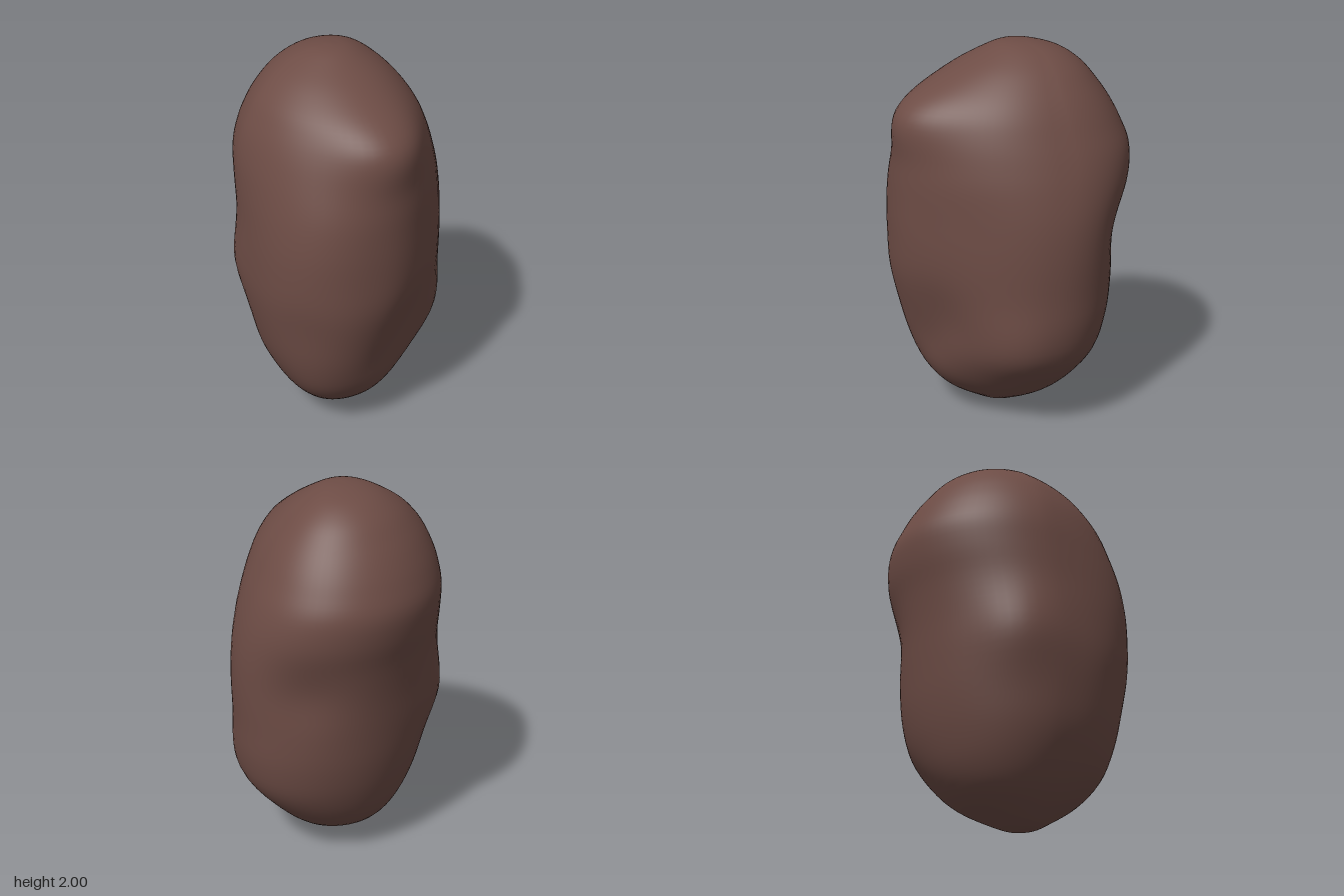
import * as THREE from 'three';

// Cross-sections from bottom to top: y, x min, x max, z min, z max
const SECTIONS = [
  [0.00, -0.10, -0.10, 0.07, 0.07],
  [0.012, -0.155, 0.00, 0.01, 0.13],
  [0.05, -0.215, 0.09, -0.085, 0.20],
  [0.14, -0.315, 0.24, -0.245, 0.335],
  [0.26, -0.40, 0.37, -0.345, 0.44],
  [0.42, -0.475, 0.495, -0.415, 0.515],
  [0.60, -0.52, 0.545, -0.46, 0.565],
  [0.80, -0.55, 0.56, -0.488, 0.60],
  [1.00, -0.555, 0.57, -0.515, 0.605],
  [1.18, -0.55, 0.565, -0.55, 0.605],
  [1.34, -0.545, 0.54, -0.59, 0.595],
  [1.48, -0.535, 0.50, -0.60, 0.56],
  [1.60, -0.51, 0.45, -0.56, 0.515],
  [1.70, -0.47, 0.40, -0.51, 0.46],
  [1.79, -0.415, 0.34, -0.45, 0.38],
  [1.88, -0.325, 0.26, -0.375, 0.26],
  [1.95, -0.215, 0.165, -0.275, 0.13],
  [1.988, -0.12, 0.07, -0.155, 0.04],
  [2.00, -0.03, -0.03, -0.05, -0.05],
];

// Soft lumps and hollows: centre x, y, z, radius, height
const LUMPS = [
  [-0.03, 1.68, 0.47, 0.22, 0.11],   // brow
  [0.48, 0.50, 0.18, 0.20, 0.035],   // low front bulge
  [0.10, 0.62, 0.47, 0.24, -0.055],  // front groove
  [0.00, 0.46, 0.48, 0.15, -0.025],  // front groove, lower end
  [-0.44, 0.72, 0.42, 0.18, -0.015], // side hollow beside the groove
  [-0.50, 0.87, -0.24, 0.20, 0.045], // side bulge
  [0.36, 1.06, -0.42, 0.19, -0.035], // rear hollow
  [-0.34, 0.28, 0.32, 0.15, 0.015],  // low front corner
];

function createStoneGeometry(rows = 72, sides = 72) {
  const xs = new THREE.CatmullRomCurve3(
    SECTIONS.map(([y, x0, x1]) => new THREE.Vector3(x0, y, x1)), false, 'catmullrom');
  const zs = new THREE.CatmullRomCurve3(
    SECTIONS.map(([y, , , z0, z1]) => new THREE.Vector3(z0, y, z1)), false, 'catmullrom');
  const positions = [-0.10, 0, 0.07];
  const indices = [];
  const point = new THREE.Vector3();
  const out = new THREE.Vector3();
  const centre = new THREE.Vector3();

  for (let r = 1; r < rows; r++) {
    const a = xs.getPoint(r / rows);
    const b = zs.getPoint(r / rows);
    // Off-centre axis makes four unequal quadrants
    const cx = THREE.MathUtils.lerp(a.x, a.z, 0.49);
    const cz = THREE.MathUtils.lerp(b.x, b.z, 0.45);
    // Skew carries the front towards -x and the back towards +x;
    // at the front it fades out towards the rounded top
    const skew = 0.15 * (a.z - a.x) / 2;
    const low = 1 - THREE.MathUtils.smoothstep(a.y, 1.1, 1.75);
    for (let s = 0; s < sides; s++) {
      const angle = (s / sides) * Math.PI * 2;
      const c = Math.cos(angle);
      const n = Math.sin(angle);
      // The front corner is flatter on the +x side and fuller on the -x side
      const corner = n > 0 ? 1 + low * (c > 0 ? -0.2 : 0.16) * (c * n) ** 2 : 1;
      const shift = skew * n * (n > 0 ? 0.15 + 0.85 * low : 1);
      point.set(
        cx + c * corner * (c > 0 ? a.z - cx : cx - a.x) - shift,
        a.y,
        cz + n * corner * (n > 0 ? b.z - cz : cz - b.x));
      out.set(point.x - cx, 0, point.z - cz).normalize();
      let push = 0;
      for (const [x, y, z, radius, height] of LUMPS) {
        const d = point.distanceTo(centre.set(x, y, z)) / radius;
        push += height * Math.exp(-d * d);
      }
      point.addScaledVector(out, push);
      positions.push(point.x, point.y, point.z);
    }
  }
  positions.push(-0.03, 2, -0.05);

  // Skin between rings, closed by a fan at each pole
  const top = 1 + (rows - 1) * sides;
  const id = (r, s) => 1 + r * sides + (s % sides);
  for (let s = 0; s < sides; s++) {
    indices.push(0, id(0, s), id(0, s + 1));
    for (let r = 0; r < rows - 2; r++) {
      indices.push(id(r, s), id(r + 1, s), id(r, s + 1));
      indices.push(id(r, s + 1), id(r + 1, s), id(r + 1, s + 1));
    }
    indices.push(id(rows - 2, s), top, id(rows - 2, s + 1));
  }

  const geometry = new THREE.BufferGeometry();
  geometry.setAttribute('position', new THREE.Float32BufferAttribute(positions, 3));
  geometry.setIndex(indices);
  geometry.computeVertexNormals();
  return geometry;
}

export function createModel() {
  const model = new THREE.Group();
  model.name = 'stone';
  const brown = new THREE.MeshStandardMaterial({ color: 0x6d4c45 });
  brown.name = 'earthy brown';
  const body = new THREE.Mesh(createStoneGeometry(), brown);
  body.name = 'stoneBody';
  model.add(body);
  return model;
}
